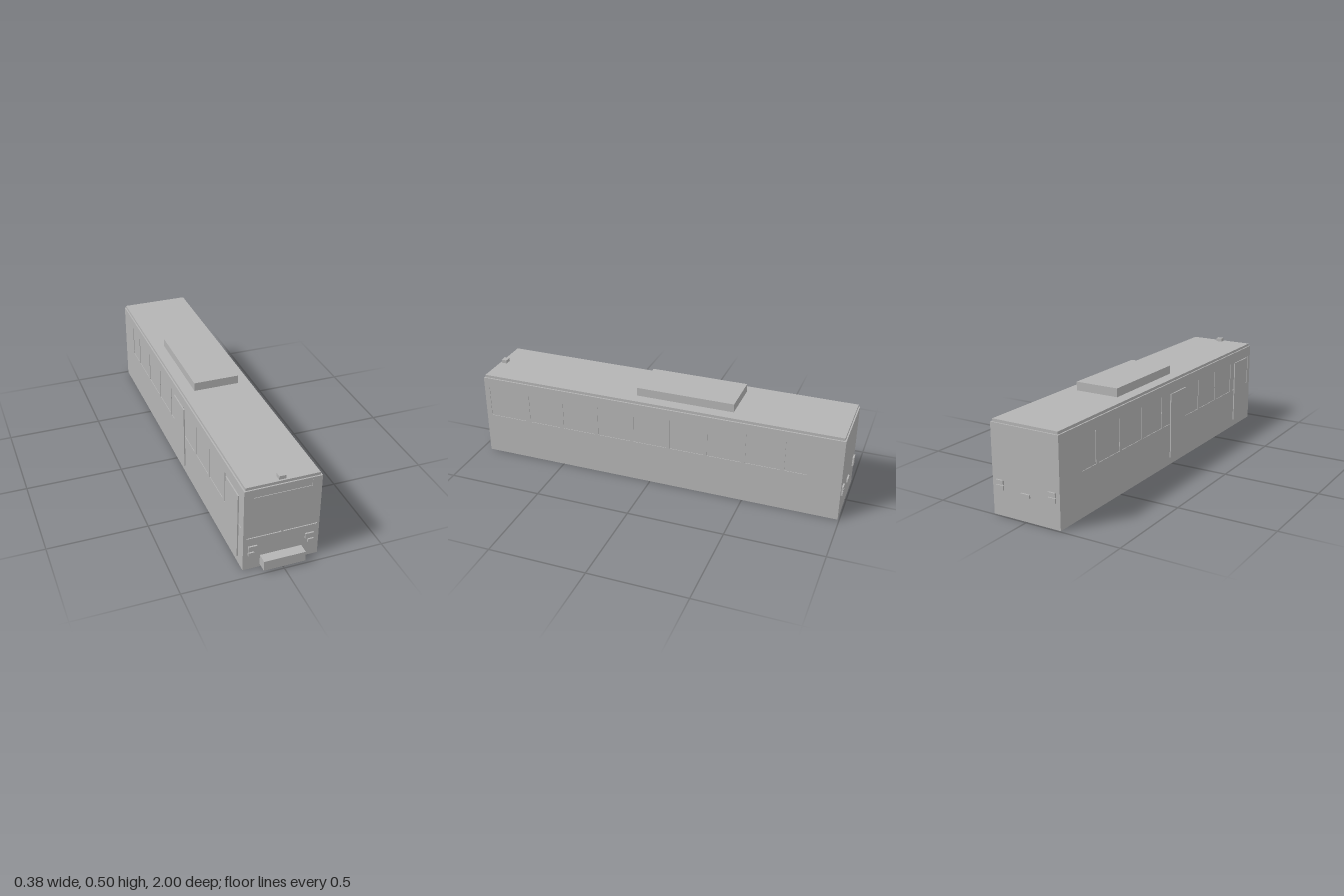
import * as THREE from 'three';

// Body limits
const XR = -0.186, XL = 0.188, FRONT = 0.949, REAR = -0.992, TOP = 0.444;
const SKIN = 0.003; // depth of the window and sign recesses

export function createModel() {
  const bus = new THREE.Group();
  bus.name = 'bus';
  const paint = new THREE.MeshStandardMaterial({ color: 0xb4b4b4 });
  paint.name = 'plain grey';

  const add = (name, geometry) => {
    const mesh = new THREE.Mesh(geometry, paint);
    mesh.name = name;
    bus.add(mesh);
    return mesh;
  };

  // Box given by its limits on each axis
  const box = (name, x0, x1, y0, y1, z0, z1) =>
    add(name, new THREE.BoxGeometry(x1 - x0, y1 - y0, z1 - z0))
      .position.set((x0 + x1) / 2, (y0 + y1) / 2, (z0 + z1) / 2);

  const trace = (path, a0, a1, b0, b1) => {
    path.moveTo(a0, b0);
    path.lineTo(a1, b0);
    path.lineTo(a1, b1);
    path.lineTo(a0, b1);
    path.closePath();
    return path;
  };

  // Thin panel with rectangular openings
  const panel = (a0, a1, b0, b1, openings) => {
    const shape = trace(new THREE.Shape(), a0, a1, b0, b1);
    for (const o of openings) shape.holes.push(trace(new THREE.Path(), ...o));
    return new THREE.ExtrudeGeometry(shape, { depth: SKIN, bevelEnabled: false });
  };

  // Body core, behind the outer panels
  box('bodyCore', XR + SKIN, XL - SKIN, 0, TOP, REAR, FRONT - SKIN);

  // Side panels with a row of recessed windows
  const windows = [[0.711, 0.92]];
  for (let i = 0; i < 7; i++) windows.push([0.508 - i * 0.199, 0.687 - i * 0.199]);
  windows.push([-0.818, -0.707]);
  const openings = windows.map(([z0, z1]) => [-z1, -z0, 0.223, 0.388]);
  for (const [name, x] of [['leftSide', XL - SKIN], ['rightSide', XR]]) {
    const geometry = panel(-FRONT, -REAR, 0, TOP, openings).rotateY(Math.PI / 2);
    add(name, geometry).position.x = x;
  }

  // Front panel with the recessed destination sign
  const front = panel(XR + SKIN, XL - SKIN, 0, TOP, [[-0.139, 0.141, 0.399, 0.435]]);
  add('frontPanel', front).position.z = FRONT - SKIN;

  // Roof, air conditioner and front beacon
  box('roof', -0.179, 0.18, TOP, 0.458, -0.985, 0.942);
  box('airConditioner', -0.118, 0.118, 0.458, 0.502, -0.42, 0.094);
  box('beacon', -0.017, 0.0175, 0.458, 0.476, 0.904, 0.933);

  // Doors on the right side
  for (const [z0, z1] of [[-0.022, 0.136], [0.735, 0.89]])
    box('door', -0.192, XR, 0.039, 0.384, z0, z1);

  // Front bumper
  box('frontBumper', -0.102, 0.104, 0.015, 0.067, FRONT, 1);

  // Wipers with their pivots
  for (const [x0, x1] of [[-0.17, -0.003], [0.01, 0.175]]) {
    box('wiper', x0, x1 - 0.008, 0.176, 0.18, FRONT, 0.954);
    box('wiperPivot', x1 - 0.01, x1, 0.174, 0.182, FRONT, 0.956);
  }

  // Paired front and rear lamps
  for (const side of [-1, 1]) {
    const lamp = (name, inner, outer, y0, y1, z0, z1) =>
      box(name, Math.min(side * inner, side * outer), Math.max(side * inner, side * outer), y0, y1, z0, z1);
    lamp('headlight', 0.119, 0.161, 0.105, 0.133, FRONT, 0.957);
    lamp('foglight', 0.133, 0.162, 0.081, 0.098, FRONT, 0.957);
    lamp('tailLight', 0.125, 0.165, 0.154, 0.176, -1, REAR);
    lamp('brakeLight', 0.125, 0.165, 0.128, 0.151, -1, REAR);
  }

  // Rear plate holder
  box('rearPlate', -0.023, 0.025, 0.12, 0.137, -1, REAR);

  return bus;
}
